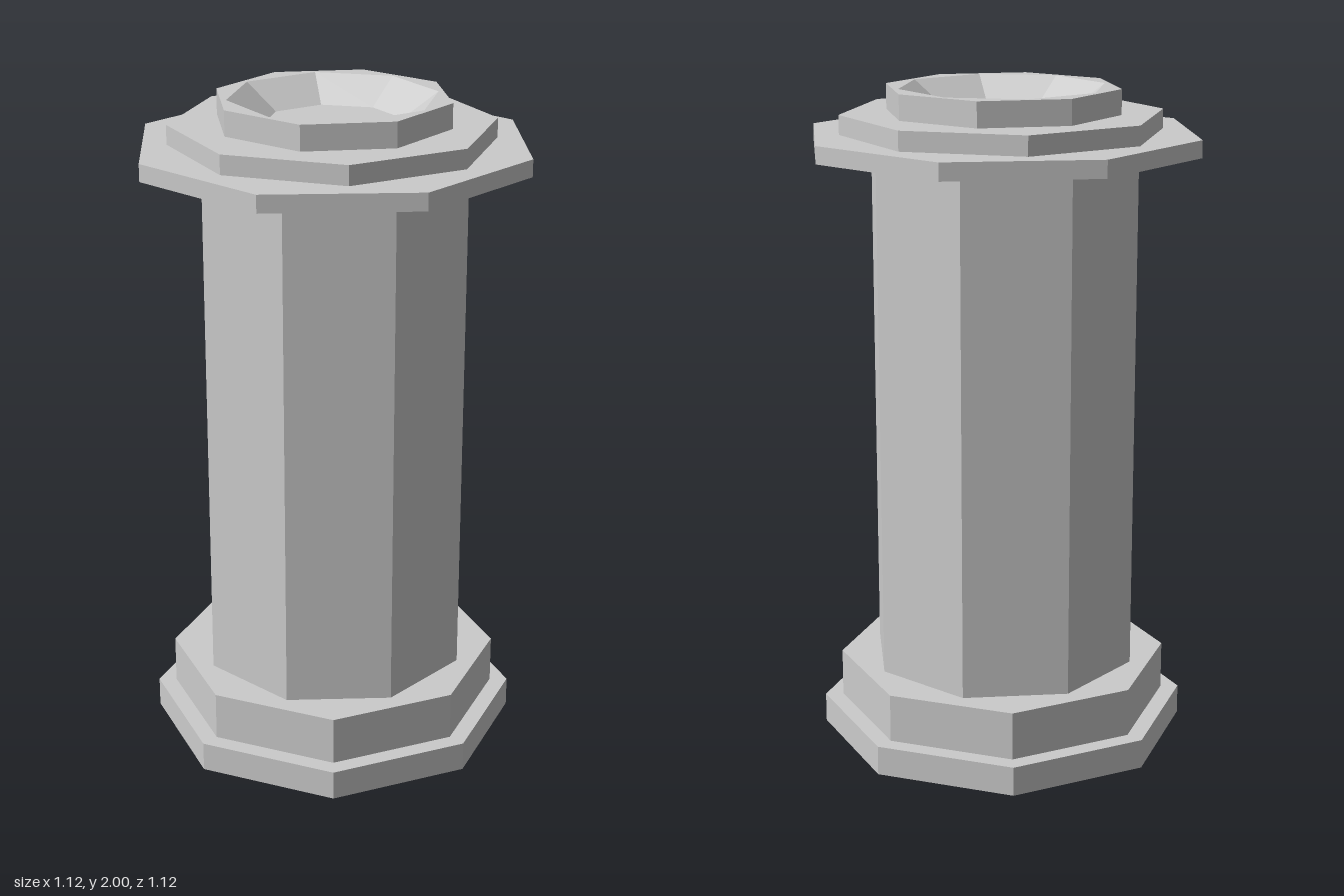
import * as THREE from 'three';

const SIDES = 8;
const rad = THREE.MathUtils.degToRad;

// Corners of an octagon in the ground plane, turned about y by the given degrees
function octagon(radius, turn) {
  return Array.from({ length: SIDES }, (_, i) => {
    const a = rad(turn) + (i / SIDES) * Math.PI * 2;
    return new THREE.Vector2(radius * Math.sin(a), -radius * Math.cos(a));
  });
}

export function createModel() {
  const model = new THREE.Group();
  const stone = new THREE.MeshStandardMaterial({ color: 0xcccccc, flatShading: true });
  const inside = stone.clone();
  inside.side = THREE.DoubleSide;

  const add = (name, geometry, y, turn, parent = model, material = stone) => {
    const mesh = new THREE.Mesh(geometry, material);
    mesh.name = name;
    mesh.position.y = y;
    mesh.rotation.y = rad(turn);
    parent.add(mesh);
    return mesh;
  };

  // Stacked octagonal slabs, each with its own twist: name, radius, bottom, top, turn
  const slabs = [
    ['footSlab', 0.56, 0, 0.09, 0],
    ['plinth', 0.505, 0.09, 0.237, 0],
    ['shaft', 0.412, 0.237, 1.815, 25],
    ['capitalFlange', 0.597, 1.815, 1.867, 25],
    ['capitalStep', 0.481, 1.867, 1.925, 5],
  ];
  for (const [name, r, bottom, top, turn] of slabs) {
    add(name, new THREE.CylinderGeometry(r, r, top - bottom, SIDES), (bottom + top) / 2, turn);
  }

  // Top ring: outer wall, flat rim and sloping basin; the step below forms its floor
  const ring = new THREE.Group();
  ring.name = 'topRing';
  model.add(ring);
  const h = 0.075, outer = 0.352, rim = 0.31, floor = 0.205;
  add('ringWall', new THREE.CylinderGeometry(outer, outer, h, SIDES, 1, true), 2 - h / 2, 30, ring);
  add('basinWall', new THREE.CylinderGeometry(rim, floor, h, SIDES, 1, true), 2 - h / 2, 10, ring, inside);

  const rimShape = new THREE.Shape(octagon(outer, 30));
  rimShape.holes.push(new THREE.Path(octagon(rim, 10)));
  add('ringRim', new THREE.ShapeGeometry(rimShape).rotateX(-Math.PI / 2), 2, 0, ring);

  return model;
}
